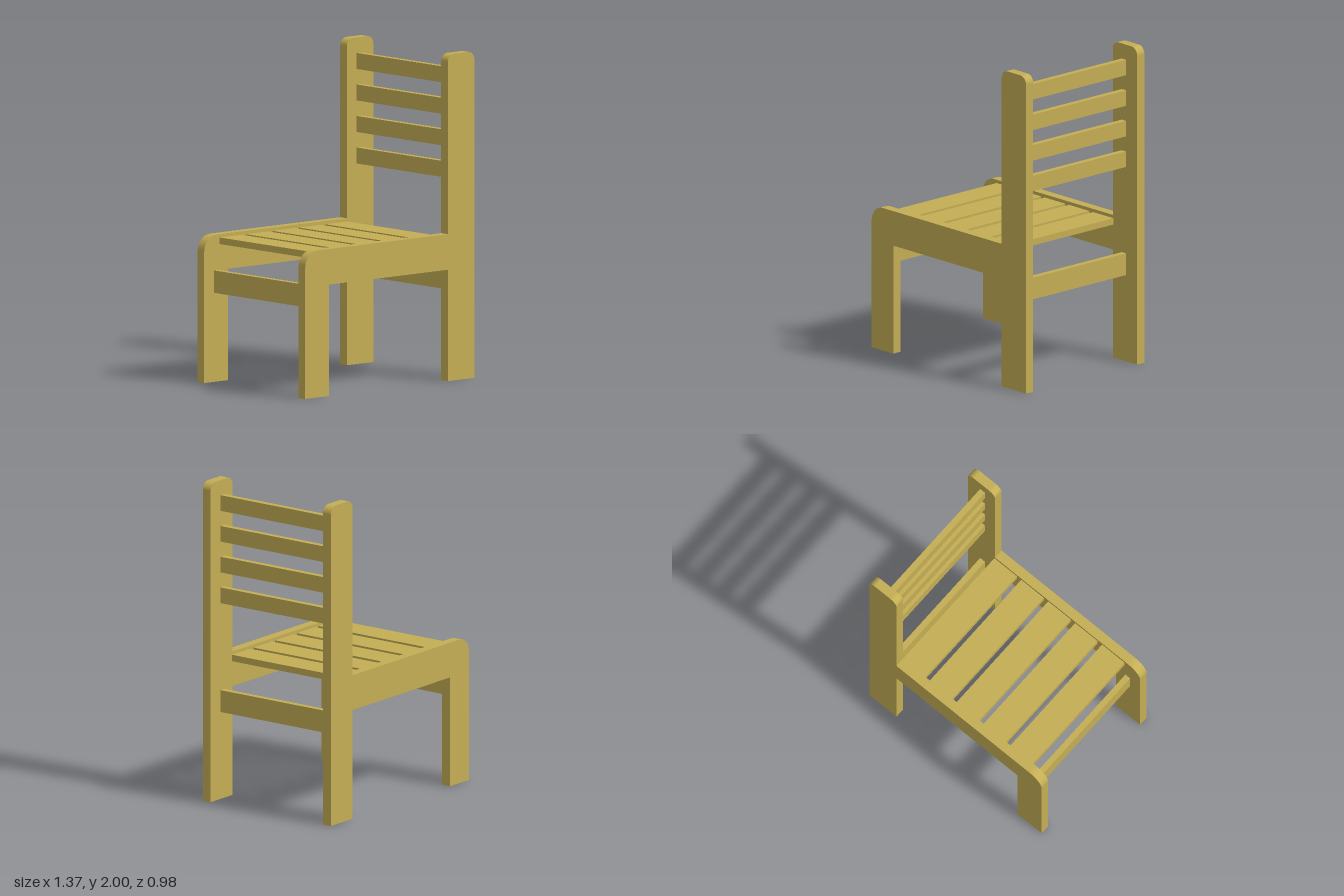
import * as THREE from 'three';

const SIDE_IN = 0.43, SIDE_OUT = 0.49;

// Side profile: front leg, seat rail and back post in one board
function sideShape() {
  const s = new THREE.Shape();
  s.moveTo(-0.688, 0);
  s.lineTo(-0.495, 0);
  s.lineTo(-0.495, 0.682);
  s.lineTo(0.47, 0.682);
  s.lineTo(0.47, 0);
  s.lineTo(0.686, 0);
  s.lineTo(0.686, 1.95);
  s.absarc(0.636, 1.95, 0.05, 0, Math.PI / 2, false);
  s.lineTo(0.52, 2);
  s.absarc(0.52, 1.95, 0.05, Math.PI / 2, Math.PI, false);
  s.lineTo(0.47, 0.9);
  s.lineTo(-0.588, 0.9);
  s.absarc(-0.588, 0.8, 0.1, Math.PI / 2, Math.PI, false);
  s.closePath();
  return s;
}

export function createModel() {
  const chair = new THREE.Group();
  chair.name = 'chair';
  const wood = new THREE.MeshStandardMaterial({ color: 0xc4ae54 });

  // Two matching side frames
  const sideGeometry = new THREE.ExtrudeGeometry(sideShape(), {
    depth: SIDE_OUT - SIDE_IN, bevelEnabled: false, curveSegments: 12,
  });
  for (const [name, z] of [['leftSideFrame', SIDE_IN], ['rightSideFrame', -SIDE_OUT]]) {
    const side = new THREE.Mesh(sideGeometry, wood);
    side.name = name;
    side.position.z = z;
    chair.add(side);
  }

  // Crosspiece spanning the gap between the side frames
  function addBar(name, x0, x1, y0, y1) {
    const bar = new THREE.Mesh(new THREE.BoxGeometry(x1 - x0, y1 - y0, 2 * SIDE_IN), wood);
    bar.name = name;
    bar.position.set((x0 + x1) / 2, (y0 + y1) / 2, 0);
    chair.add(bar);
  }

  // Seat slats
  for (let i = 0; i < 5; i++) {
    const x = -0.564 + i * 0.2147;
    addBar(`seatSlat${i + 1}`, x, x + 0.18, 0.84, 0.88);
  }

  // Backrest slats
  for (let i = 0; i < 4; i++) {
    const y = 1.228 + i * 0.193;
    addBar(`backSlat${i + 1}`, 0.55, 0.588, y, y + 0.098);
  }

  // Rails between the legs
  addBar('frontRail', -0.607, -0.57, 0.545, 0.682);
  addBar('rearRail', 0.55, 0.588, 0.545, 0.682);

  return chair;
}
